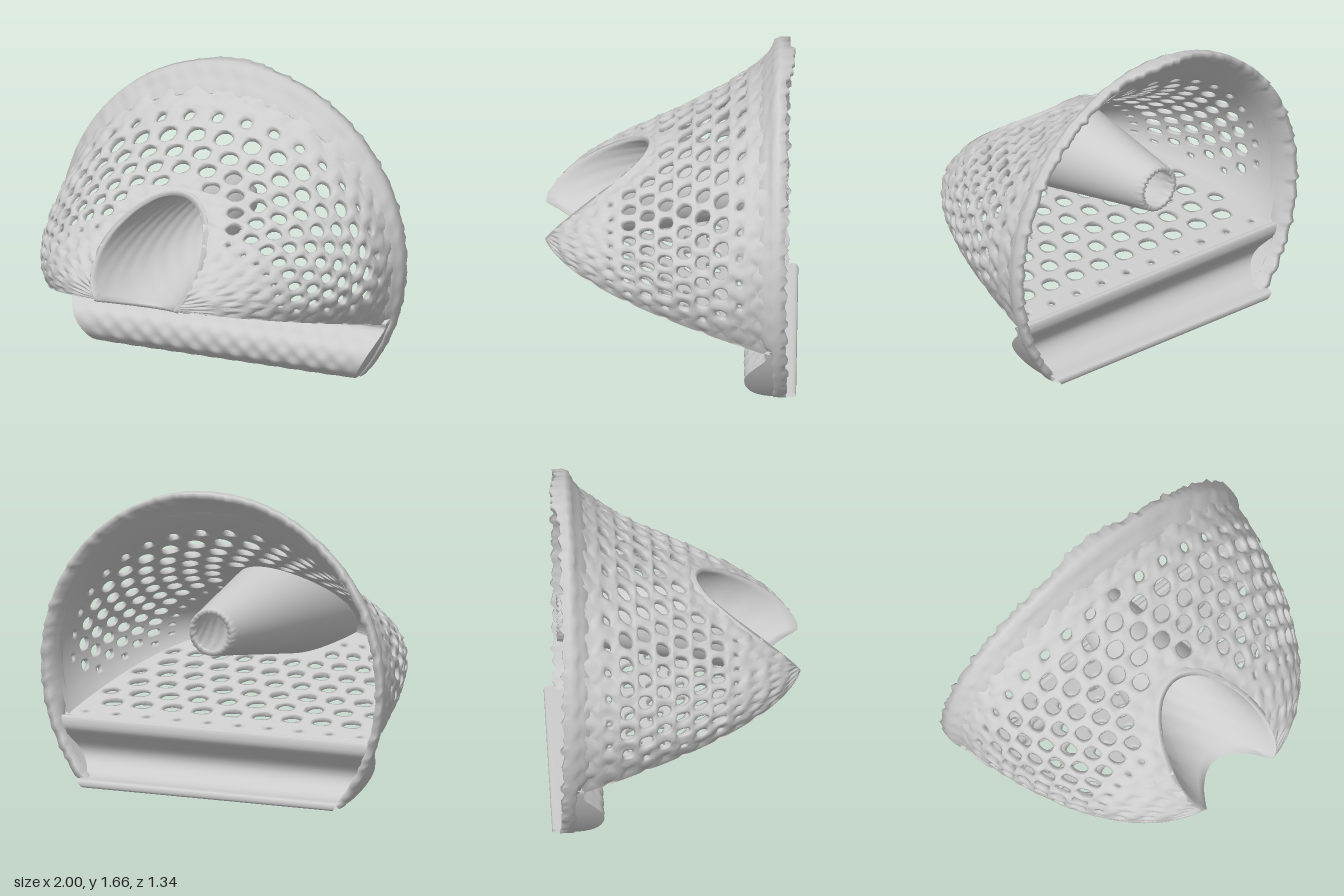
import * as THREE from 'three';
import { mergeVertices } from 'three/addons/utils/BufferGeometryUtils.js';

const V = (x, y, z) => new THREE.Vector3(x, y, z);
const BACK = -0.5, NOSE = 0.69, WALL = 0.03, FY = 0.9;
const step = THREE.MathUtils.smoothstep;

// Shell cross-section at depth z: half width, upper radius, centre height and floor height
function section(z) {
  const k = THREE.MathUtils.clamp((z - BACK) / 1.21, 0, 0.992);
  return {
    w: 0.97 * (1 - k ** 1.6) ** 0.41,
    h: 0.9 * ((1 - k) ** 0.7 - 0.75 * k * (1 - k) ** 2),
    c: 0.66 + 0.03 * k,
    b: 0.335 + 0.29 * (z + 0.49),
  };
}
const cornerAngle = (s) => Math.asin(Math.min(1, Math.max(0, (s.c - s.b) / s.h)));

// Funnel radius at depth z
const funnelR = (z) => 0.1 + 0.17 * (z + 0.6);
const outsideFunnel = (p) => Math.hypot(p.x, p.y - FY) - funnelR(p.z) - 0.005;

// Small hammered bumps
const bump = (p, f = 62) =>
  0.005 * (Math.sin(f * p.x) * Math.sin(f * p.y + 1) + Math.sin(f * p.y) * Math.sin(f * p.z + 2));

// Upper dome and flat underside, both by u in [-1, 1] across and z in depth
function domePoint(u, z) {
  const s = section(z), a = Math.PI / 2 - u * (Math.PI / 2 + cornerAngle(s));
  return V(s.w * Math.cos(a), s.c + s.h * Math.sin(a), z);
}
function undersidePoint(u, z) {
  const s = section(z);
  return V(u * s.w * Math.cos(cornerAngle(s)), s.b, z);
}

// Triangle collector that can cut away everything where keep(p) < 0
function collector(keep) {
  const pos = [];
  function tri(a, b, c) {
    let poly = [a, b, c];
    if (keep) {
      const out = [];
      poly.forEach((p, i) => {
        const q = poly[(i + 1) % 3], fp = keep(p), fq = keep(q);
        if (fp >= 0) out.push(p);
        if ((fp >= 0) !== (fq >= 0)) out.push(p.clone().lerp(q, fp / (fp - fq)));
      });
      poly = out;
    }
    for (let i = 1; i + 1 < poly.length; i++)
      for (const p of [poly[0], poly[i], poly[i + 1]]) pos.push(p.x, p.y, p.z);
  }
  function quad(a, b, c, d, flip) {
    if (flip) { tri(a, c, b); tri(a, d, c); } else { tri(a, b, c); tri(a, c, d); }
  }
  function geometry() {
    let g = new THREE.BufferGeometry();
    g.setAttribute('position', new THREE.Float32BufferAttribute(pos, 3));
    g = mergeVertices(g, 1e-4);
    g.computeVertexNormals();
    return g;
  }
  return { quad, geometry };
}

// Plain grid surface from fn(i, j)
function grid(nu, nv, fn, flip = false) {
  const c = collector();
  for (let i = 0; i < nu; i++)
    for (let j = 0; j < nv; j++)
      c.quad(fn(i, j), fn(i + 1, j), fn(i + 1, j + 1), fn(i, j + 1), flip);
  return c.geometry();
}

// Double-walled sheet of staggered cells, each with an oval hole or a dimple
function perforated(point, cols, rows, sign, aspect, holeSize) {
  const out = collector(outsideFunnel), e = 0.002;
  const hu = 1 / cols, hz = (NOSE - BACK) / rows / 2, n = 16;
  const place = (u, z, depth, bumpy) => {
    u = THREE.MathUtils.clamp(u, -1, 1);
    const p = point(u, z);
    const du = point(u + e, z).sub(point(u - e, z));
    const dz = point(u, z + e).sub(point(u, z - e));
    const nrm = du.cross(dz).normalize().multiplyScalar(sign);
    const soft = bumpy ? bump(p) * (1 - Math.abs(u) ** 12) : 0;
    return p.addScaledVector(nrm, soft - depth);
  };
  // Points around a cell border, four to a side
  const border = (i) => {
    const side = Math.floor(i / 4), t = (i % 4) / 2 - 1;
    return [[t, -1], [1, t], [-t, 1], [-1, -t]][side];
  };
  for (let r = 0; r < rows; r++) {
    const cz = BACK + hz * (2 * r + 1), odd = r % 2;
    for (let k = 0; k < cols + odd; k++) {
      const cu = -1 + hu * (2 * k + 1 - odd);
      const centre = point(THREE.MathUtils.clamp(cu, -1, 1), cz);
      let size = Math.abs(cu) > 0.99 ? 0 : holeSize(cu, cz);
      if (outsideFunnel(centre) < 0.08) size = 0;
      const open = size > 0.12, rings = 3;
      const layer = (depth, bumpy) => {
        const list = [];
        for (let j = 0; j <= rings; j++) {
          const t = j / rings, ring = [];
          for (let i = 0; i < n; i++) {
            const [bx, bz] = border(i), l = Math.hypot(bx, bz), s = open ? size : 0;
            const x = bx * (1 - t) + (bx / l) * s * aspect * t, z = bz * (1 - t) + (bz / l) * s * t;
            const pit = bumpy ? (open ? 0.006 : 0.012) * t * t : 0;
            ring.push(place(cu + x * hu, cz + z * hz, depth + pit, bumpy));
          }
          list.push(ring);
        }
        return list;
      };
      const A = layer(0, true), B = layer(WALL, false), flip = sign < 0;
      for (let i = 0; i < n; i++) {
        const m = (i + 1) % n;
        for (let j = 0; j < rings; j++) {
          out.quad(A[j][i], A[j][m], A[j + 1][m], A[j + 1][i], flip);
          out.quad(B[j][i], B[j][m], B[j + 1][m], B[j + 1][i], !flip);
        }
        if (open) out.quad(A[rings][i], A[rings][m], B[rings][m], B[rings][i], flip);
      }
    }
  }
  return out.geometry();
}

// Depth at which the funnel leaves the shell in direction a
function mouthDepth(a) {
  for (let z = -0.5; z < NOSE; z += 0.002) {
    const r = funnelR(z), x = r * Math.cos(a), y = FY + r * Math.sin(a), s = section(z);
    if (y < s.b || (x / s.w) ** 2 + ((y - s.c) / s.h) ** 2 > 1) return z;
  }
  return NOSE;
}

export function createModel() {
  const model = new THREE.Group();
  const grey = new THREE.MeshStandardMaterial({ color: 0xcccccc, side: THREE.DoubleSide });
  grey.name = 'light grey';
  const add = (name, geometry) => {
    const mesh = new THREE.Mesh(geometry, grey);
    mesh.name = name;
    model.add(mesh);
  };

  // Perforated shell: dome above, flat sloping underside
  add('dome', perforated(domePoint, 22, 12, -1, 0.78, (u, z) =>
    0.8 * step(z, -0.5 + 0.1 * Math.abs(u), -0.25) * (1 - step(z, 0.22, 0.42)) * (1 - step(Math.abs(u), 0.8, 1))));
  add('underside', perforated(undersidePoint, 10, 10, 1, 0.9, (u, z) =>
    0.7 * step(z, -0.5, -0.36) * (1 - step(z, 0.4, 0.6)) * (1 - step(Math.abs(u), 0.85, 1.02))));

  // Funnel: inner wall, mouth edge, outer wall and ragged rear end as one loop
  const around = 64, along = 22;
  const angles = Array.from({ length: around }, (_, i) => (i / around) * Math.PI * 2);
  const mouths = angles.map(mouthDepth);
  add('funnel', grid(around, 2 * along + 2, (i, j) => {
    i %= around;
    j %= 2 * along + 2;
    const inner = j <= along, t = inner ? j / along : (2 * along + 1 - j) / along;
    const rear = -0.6 + 0.008 * Math.sin(i * 2.4);
    const z = rear + (mouths[i] - rear) * t - (inner ? 0 : 0.015 * t);
    const ripple = inner ? 0.004 * Math.sin(i * 1.57) * Math.sin(j * 1.9) * (1 - t ** 6) : 0;
    const r = funnelR(z) + (inner ? ripple : 0.026);
    return V(r * Math.cos(angles[i]), FY + r * Math.sin(angles[i]), z);
  }));

  // Rim flaring smoothly from the dome to a ragged rear edge: [half width, half height, z]
  const rim = [[0.96, 0.852, -0.46], [0.975, 0.905, -0.495], [0.985, 0.945, -0.52], [0.997, 0.985, -0.533],
    [1, 1, -0.56], [1, 1, null], [0.968, 0.968, null], [0.955, 0.93, -0.54], [0.935, 0.83, -0.46]];
  const low = -0.708, span = Math.PI - 2 * low, steps = 160;
  add('rim', grid(steps, rim.length, (i, j) => {
    const [rx, ry, z] = rim[j % rim.length], a = low + (span * i) / steps, s = Math.sin(a);
    const rag = -0.6 + 0.012 * Math.sin(i * 1.7) * Math.sin(i * 0.37 + 1) + 0.006 * Math.sin(i * 2.9)
      - 0.035 * step(s, 0.97, 1);
    // Below the dome the band is thin, round and set back behind the lip
    const under = step(-s, 0.2, 0.4), wide = rx + (Math.max(rx, 0.965) - rx) * under;
    const tall = s > 0 ? ry : ry + (wide - ry) * step(-s, 0, 0.4);
    const p = V(wide * Math.cos(a), 0.66 + tall * s, z === null ? rag : Math.min(z, z + (-0.53 - z) * under));
    if (j % rim.length < 5) p.z += bump(p, 50);
    p.y = Math.max(p.y, 0.005);
    return p;
  }, true));

  // Rolled lower lip: closed profile [z, y] swept across, following the rim circle
  const lip = new THREE.CatmullRomCurve3([[-0.485, 0.345], [-0.495, 0.31], [-0.435, 0.245], [-0.385, 0.18],
    [-0.38, 0.12], [-0.41, 0.06], [-0.46, 0.025], [-0.55, 0.006], [-0.648, 0.006], [-0.648, 0.04],
    [-0.55, 0.042], [-0.48, 0.06], [-0.435, 0.1], [-0.42, 0.14], [-0.43, 0.18], [-0.48, 0.24],
    [-0.535, 0.3], [-0.53, 0.36]].map(([z, y]) => V(0, y, z)), true);
  const pn = 72, ring = Array.from({ length: pn }, (_, i) => lip.getPoint(i / pn));
  const halfWidth = (y) => 0.98 * Math.sqrt(1 - (y - 0.66) ** 2);
  const lipPoint = (u, j) => {
    const q = ring[j % pn], p = V(u * halfWidth(q.y), Math.max(0, q.y), q.z);
    if (j % pn < 28) p.z += 1.3 * bump(p, 55) * (1 - u ** 8);
    return p;
  };
  add('lowerLip', grid(90, pn, (i, j) => lipPoint(i / 45 - 1, j), true));

  // End walls closing the lip against the rim
  for (const side of [-1, 1])
    add('lipEnd', grid(4, 30, (i, j) => {
      const p = lipPoint(side, j);
      p.z += (Math.min(p.z, -0.58) - p.z) * (i / 4);
      return p;
    }, side > 0));

  return model;
}
